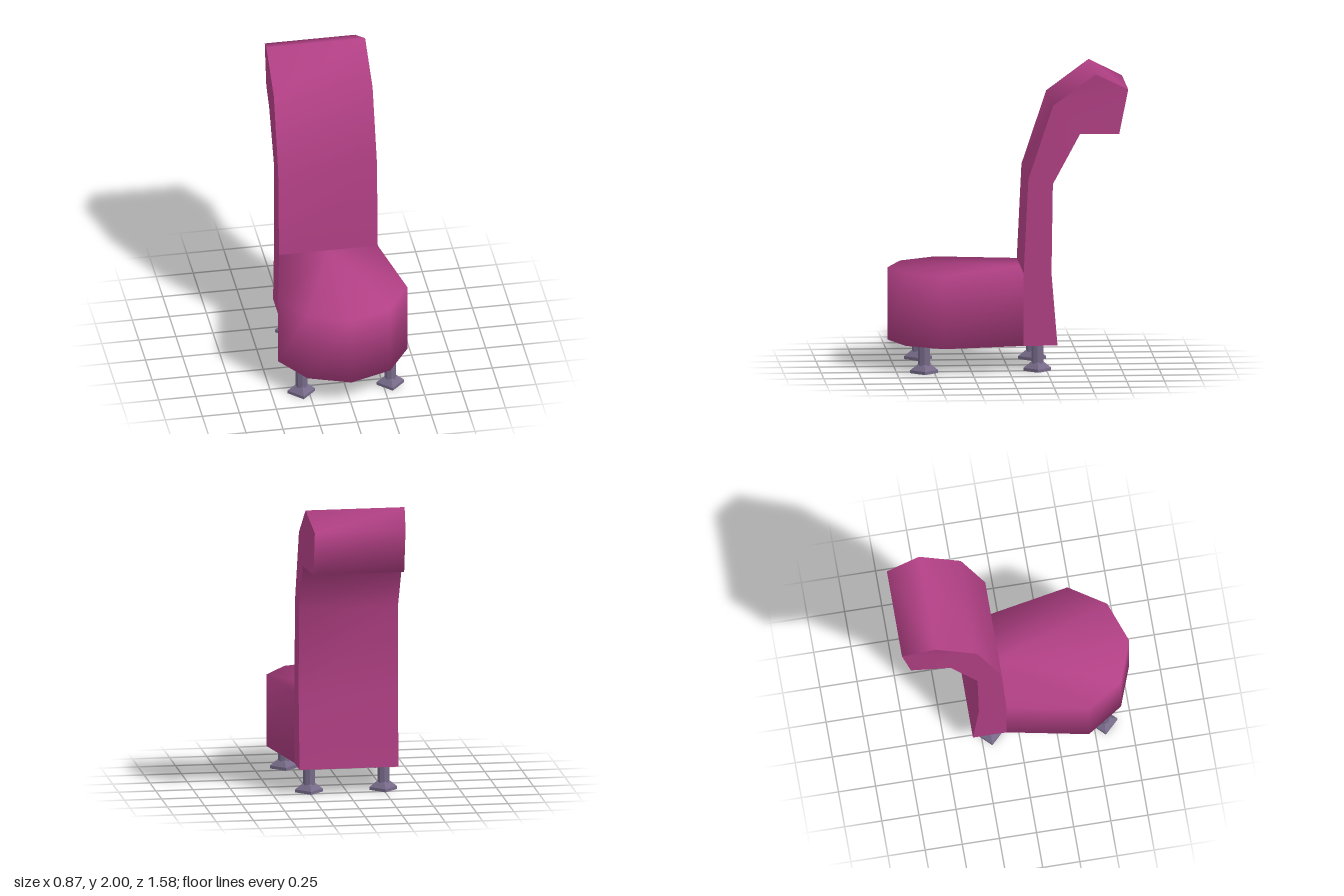
import * as THREE from 'three';

const pink = new THREE.MeshStandardMaterial({ color: 0xb24085 });
pink.name = 'pinkUpholstery';
const grey = new THREE.MeshStandardMaterial({ color: 0x766a88, flatShading: true });
grey.name = 'greyPurpleMetal';

const SEAT_TOP = 0.667, SEAT_BOTTOM = 0.18, JOIN_Z = -0.092, HALF = 0.333;

function indexedGeometry(positions, indices) {
  const g = new THREE.BufferGeometry();
  g.setAttribute('position', new THREE.Float32BufferAttribute(positions, 3));
  g.setIndex(indices);
  g.computeVertexNormals();
  return g;
}

// Seat block: outline pulled up from the base, softly shaded over its rim
function seatGeometry() {
  const outline = [
    [-HALF, JOIN_Z], [-0.436, 0.447], [-0.278, 0.689], [0, 0.79],
    [0.278, 0.689], [0.436, 0.447], [HALF, JOIN_Z],
  ];
  const n = outline.length;
  const pos = [], idx = [];
  for (const y of [SEAT_TOP, SEAT_BOTTOM]) for (const [x, z] of outline) pos.push(x, y, z);
  const topCentre = 2 * n, baseCentre = 2 * n + 1;
  pos.push(0, SEAT_TOP, JOIN_Z, 0, SEAT_BOTTOM, JOIN_Z);
  for (let i = 0; i < n - 1; i++) {
    const t = i, b = n + i;
    idx.push(b, b + 1, t + 1, b, t + 1, t); // wall
    idx.push(topCentre, t, t + 1); // top
    idx.push(baseCentre, b + 1, b); // underside
  }
  // Underside below the backrest
  const backRight = 2 * n + 2, backLeft = 2 * n + 3;
  pos.push(-HALF, SEAT_BOTTOM, -0.317, HALF, SEAT_BOTTOM, -0.317);
  idx.push(baseCentre, n, backRight, baseCentre, backRight, backLeft, baseCentre, backLeft, 2 * n - 1);
  return indexedGeometry(pos, idx);
}

// Backrest: curled side profile [z, y, half width], smooth wrap and crisp flanks
function backrestGeometry() {
  const profile = [
    [JOIN_Z, SEAT_TOP, HALF], [-0.123, 1.3, HALF], [-0.288, 1.792, HALF],
    [-0.57, 2.0, HALF], [-0.79, 1.892, 0.305], [-0.73, 1.595, 0.305],
    [-0.467, 1.6, HALF], [-0.286, 1.265, HALF], [-0.277, SEAT_TOP, HALF],
    [-0.317, SEAT_BOTTOM, HALF],
  ];
  const pos = [], idx = [];
  profile.forEach(([z, y, w], i) => {
    pos.push(-w, y, z, w, y, z);
    if (i < profile.length - 1) {
      const a = 2 * i;
      idx.push(a, a + 1, a + 3, a, a + 3, a + 2);
    }
  });
  // Flanks
  const flank = [...profile, [JOIN_Z, SEAT_BOTTOM, HALF]].reverse();
  const faces = THREE.ShapeUtils.triangulateShape(flank.map(([z, y]) => new THREE.Vector2(-z, y)), []);
  for (const side of [1, -1]) {
    const start = pos.length / 3;
    for (const [z, y, w] of flank) pos.push(side * w, y, z);
    for (const [a, b, c] of faces) {
      if (side > 0) idx.push(start + a, start + b, start + c);
      else idx.push(start + a, start + c, start + b);
    }
  }
  return indexedGeometry(pos, idx);
}

function addMesh(parent, name, geometry, material, y = 0) {
  const mesh = new THREE.Mesh(geometry, material);
  mesh.name = name;
  mesh.position.y = y;
  parent.add(mesh);
}

// Leg: round stem on a square foot set cornerwise
function createLeg(name, x, z) {
  const leg = new THREE.Group();
  leg.name = name;
  leg.position.set(x, 0, z);
  addMesh(leg, 'stem', new THREE.CylinderGeometry(0.04, 0.04, 0.15, 8), grey, 0.125);
  addMesh(leg, 'footSlope', new THREE.CylinderGeometry(0.043, 0.093, 0.04, 4), grey, 0.04);
  addMesh(leg, 'footBase', new THREE.CylinderGeometry(0.093, 0.093, 0.02, 4), grey, 0.01);
  return leg;
}

export function createModel() {
  const chair = new THREE.Group();
  chair.name = 'chair';
  addMesh(chair, 'seat', seatGeometry(), pink);
  addMesh(chair, 'backrest', backrestGeometry(), pink);
  for (const [side, s] of [['Left', 1], ['Right', -1]]) {
    chair.add(createLeg('front' + side + 'Leg', s * 0.3, 0.568));
    chair.add(createLeg('back' + side + 'Leg', s * 0.25, -0.188));
  }
  return chair;
}
